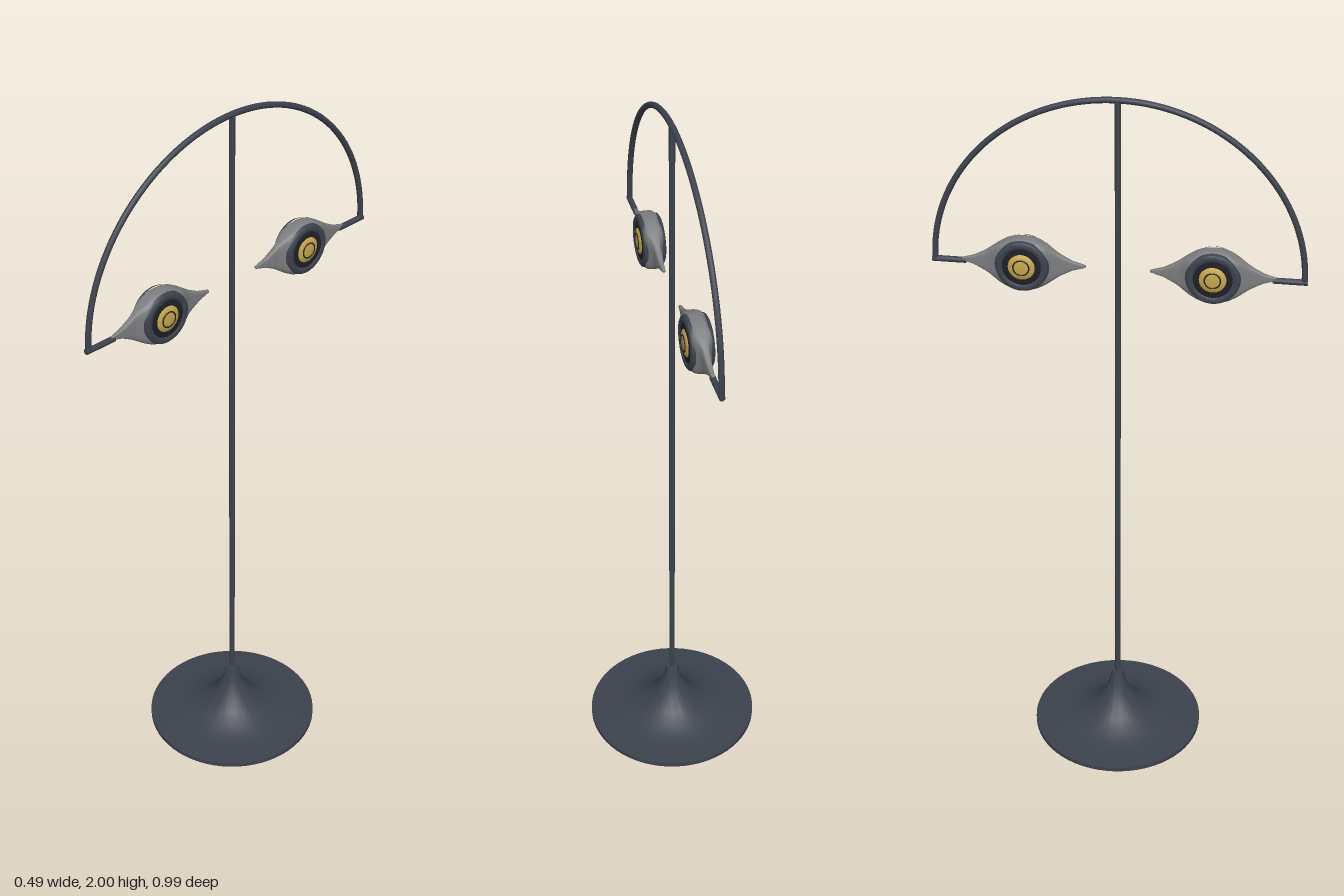
import * as THREE from 'three';
import { toCreasedNormals } from 'three/addons/utils/BufferGeometryUtils.js';

const mat = (name, color, side = THREE.FrontSide) => {
  const m = new THREE.MeshStandardMaterial({ color, side });
  m.name = name;
  return m;
};

const EYE_Y = 1.527, EYE_Z = 0.25, ARM_Z = 0.485;

function part(parent, name, geometry, material) {
  const mesh = new THREE.Mesh(geometry, material);
  mesh.name = name;
  parent.add(mesh);
  return mesh;
}

const lathe = (pts, seg = 48) =>
  toCreasedNormals(new THREE.LatheGeometry(pts.map(p => new THREE.Vector2(...p)), seg), 0.6);

// Linear lookup in a short list of [distance, value] pairs
function lookup(list, d) {
  for (let i = 1; i < list.length; i++) {
    const [d0, v0] = list[i - 1], [d1, v1] = list[i];
    if (d <= d1) return v0 + (v1 - v0) * (d - d0) / (d1 - d0);
  }
  return list[list.length - 1][1];
}

// Leaf-shaped shell: rounded sections along z, thick in the middle, thin at the tips
function leafGeometry() {
  const half = 0.165, rows = 48, cols = 32;
  const height = [[0, 0.074], [0.02, 0.073], [0.04, 0.067], [0.07, 0.05], [0.1, 0.029], [0.13, 0.013], [0.165, 0.003]];
  const thick = [[0, 0.028], [0.05, 0.028], [0.062, 0.025], [0.075, 0.017], [0.09, 0.011], [0.165, 0.004]];
  const pos = [], index = [];
  const squash = v => Math.sign(v) * Math.pow(Math.abs(v), 0.5);
  for (let i = 0; i <= rows; i++) {
    const z = -half + 2 * half * i / rows;
    const h = lookup(height, Math.abs(z)), t = lookup(thick, Math.abs(z));
    for (let j = 0; j < cols; j++) {
      const a = j / cols * Math.PI * 2;
      pos.push(t * squash(Math.cos(a)), h * squash(Math.sin(a)), z);
    }
  }
  for (let i = 0; i < rows; i++) {
    for (let j = 0; j < cols; j++) {
      const a = i * cols + j, b = i * cols + (j + 1) % cols;
      index.push(a, b, a + cols, b, b + cols, a + cols);
    }
  }
  // Close both tips
  const last = rows * cols;
  for (let j = 1; j < cols - 1; j++) {
    index.push(0, j + 1, j, last, last + j, last + j + 1);
  }
  const g = new THREE.BufferGeometry();
  g.setAttribute('position', new THREE.Float32BufferAttribute(pos, 3));
  g.setIndex(index);
  g.computeVertexNormals();
  return g;
}

export function createModel() {
  const slate = mat('slate metal', 0x3c424d);
  const grey = mat('grey shell', 0x7c7d7f);
  const black = mat('dark recess', 0x1d2026);
  const gold = mat('gold lamp', 0xc8a84a);

  const model = new THREE.Group();
  model.name = 'floorLamp';

  // Flared base
  part(model, 'base', lathe([
    [0, 0], [0.247, 0], [0.247, 0.013], [0.18, 0.016], [0.145, 0.022], [0.11, 0.036],
    [0.08, 0.056], [0.055, 0.083], [0.036, 0.115], [0.024, 0.145], [0.017, 0.18], [0, 0.18],
  ], 64), slate);

  // Pole
  part(model, 'pole', new THREE.CylinderGeometry(0.008, 0.008, 1.82, 20), slate).position.y = 1.08;

  // Arched arm
  const arch = [];
  for (let i = 0; i <= 32; i++) {
    const a = Math.PI * i / 32;
    arch.push(new THREE.Vector3(0, EYE_Y - 0.004 + 0.469 * Math.sin(a), ARM_Z * Math.cos(a)));
  }
  part(model, 'arch', new THREE.TubeGeometry(new THREE.CatmullRomCurve3(arch), 96, 0.008, 12), slate);

  const leaf = leafGeometry();
  const bezelGeo = lathe([[0.072, 0.02], [0.069, 0.028], [0.064, 0.031], [0.056, 0.031], [0.051, 0.028], [0.05, 0.0285]]);
  const irisGeo = lathe([[0.052, 0.0282], [0.046, 0.0292], [0, 0.0292]]);
  const lampGeo = lathe([[0.036, 0.029], [0.033, 0.0315], [0.02, 0.034], [0, 0.035]], 32);

  for (const s of [1, -1]) {
    const eye = new THREE.Group();
    eye.name = s > 0 ? 'frontLamp' : 'backLamp';
    eye.position.set(0, EYE_Y, s * EYE_Z);
    model.add(eye);
    part(eye, 'shell', leaf, grey);

    // Short stem to the end of the arch
    const stem = part(eye, 'stem', new THREE.CylinderGeometry(0.008, 0.008, 0.09, 12), slate);
    stem.rotation.x = Math.PI / 2;
    stem.position.set(0, -0.004, s * 0.198);
    part(eye, 'elbow', new THREE.SphereGeometry(0.008, 12, 8), slate)
      .position.set(0, -0.004, s * (ARM_Z - EYE_Z));

    // Round lamp on each face
    for (const side of [1, -1]) {
      const face = new THREE.Group();
      face.name = side > 0 ? 'leftFace' : 'rightFace';
      face.rotation.z = -side * Math.PI / 2;
      eye.add(face);
      part(face, 'bezel', bezelGeo, slate);
      part(face, 'recess', irisGeo, black);
      part(face, 'lamp', lampGeo, gold);
      const ring = part(face, 'lampRing', new THREE.TorusGeometry(0.021, 0.002, 8, 32), black);
      ring.rotation.x = Math.PI / 2;
      ring.position.y = 0.034;
    }
  }
  return model;
}
